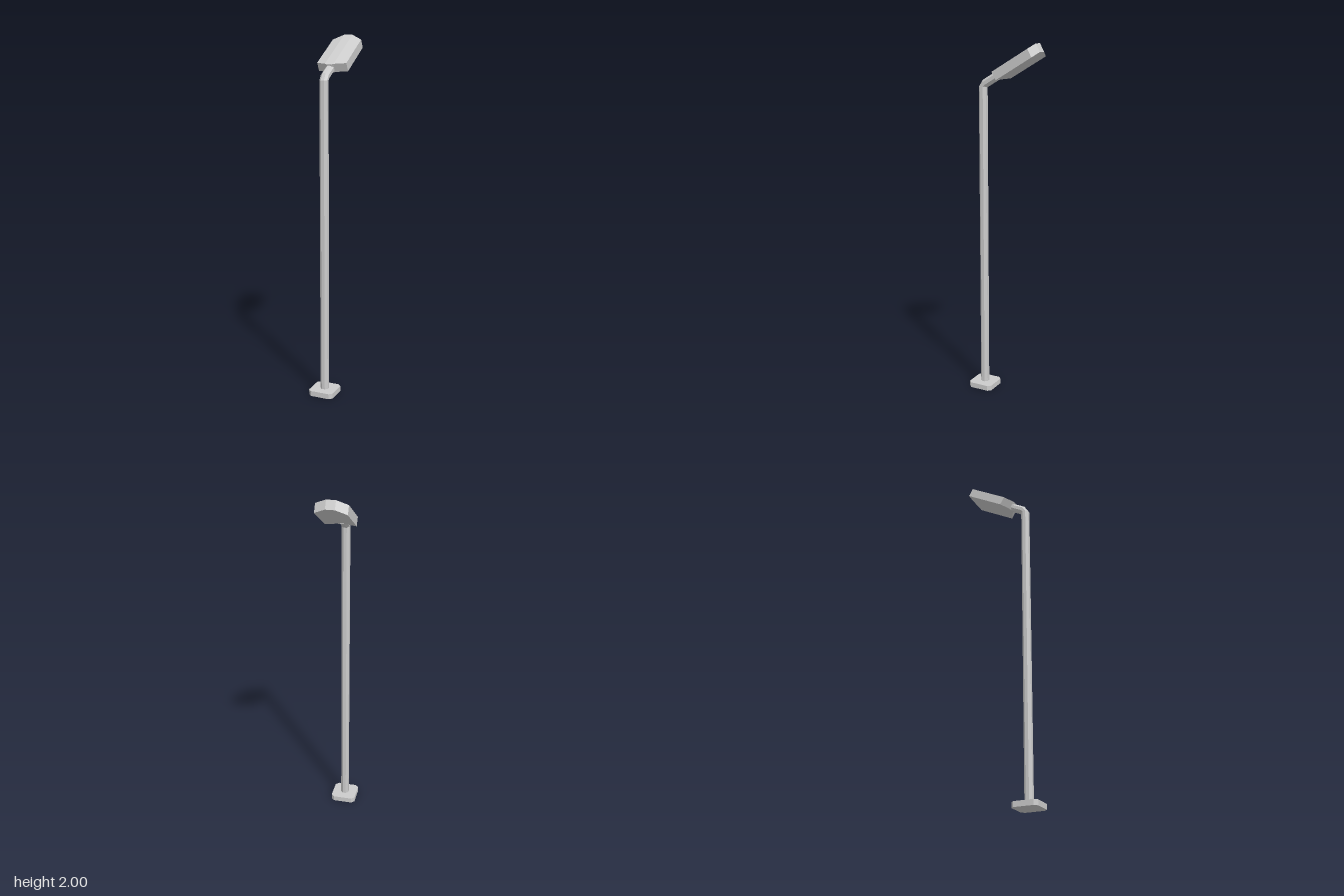
import * as THREE from 'three';

const material = new THREE.MeshStandardMaterial({ color: 0xcccccc, flatShading: true, side: THREE.DoubleSide });

// Skin a list of equal-length rings and close both ends
function loft(rings) {
  const n = rings[0].length;
  const last = (rings.length - 1) * n;
  const index = [];
  for (let i = 0; i < rings.length - 1; i++) {
    for (let j = 0; j < n; j++) {
      const k = (j + 1) % n;
      const a = i * n + j, b = i * n + k, c = b + n, d = a + n;
      index.push(a, b, c, a, c, d);
    }
  }
  for (let j = 1; j < n - 1; j++) {
    index.push(0, j + 1, j);
    index.push(last, last + j, last + j + 1);
  }
  const geometry = new THREE.BufferGeometry().setFromPoints(rings.flat());
  geometry.setIndex(index);
  const flat = geometry.toNonIndexed();
  flat.computeVertexNormals();
  return flat;
}

function addMesh(group, name, geometry) {
  const mesh = new THREE.Mesh(geometry, material);
  mesh.name = name;
  group.add(mesh);
  return mesh;
}

// Octagonal ring on the pole's path, leaning back by tilt degrees
function poleRing([y, z, tilt]) {
  const radius = 0.0225 / Math.cos(Math.PI / 8);
  return Array.from({ length: 8 }, (_, j) => {
    const a = (j + 0.5) * Math.PI / 4;
    return new THREE.Vector3(Math.cos(a) * radius, 0, -Math.sin(a) * radius)
      .applyAxisAngle(new THREE.Vector3(1, 0, 0), -THREE.MathUtils.degToRad(tilt))
      .add(new THREE.Vector3(0, y, z));
  });
}

export function createModel() {
  const group = new THREE.Group();
  group.name = 'streetLamp';

  // Square foot with cut corners
  const h = 0.073, c = 0.055;
  const outline = new THREE.Shape([
    [h, -c], [h, c], [c, h], [-c, h], [-h, c], [-h, -c], [-c, -h], [c, -h],
  ].map(([x, y]) => new THREE.Vector2(x, y)));
  const foot = addMesh(group, 'basePlate', new THREE.ExtrudeGeometry(outline, { depth: 0.03, bevelEnabled: false }));
  foot.rotation.x = -Math.PI / 2;
  foot.position.z = 0.14;

  // Pole bending into the short arm: height, depth, tilt
  const path = [[0.02, 0.14, 0], [1.765, 0.14, 0], [1.783, 0.127, 60], [1.828, 0.049, 60]];
  addMesh(group, 'poleAndArm', loft(path.map(poleRing)));

  // Arched lamp head, lofted side to side: x, back, front, rise
  const half = [[0.013, -0.2735, 0.0375, 0.013], [0.025, -0.2735, 0.0295, 0.013], [0.085, -0.244, 0, 0]];
  const mirrored = half.map(([x, ...rest]) => [-x, ...rest]).reverse();
  const thickness = 0.05;
  const sections = [...mirrored, ...half].map(([x, back, front, rise]) => [
    new THREE.Vector3(x, rise, back),
    new THREE.Vector3(x, rise, front),
    new THREE.Vector3(x, rise - thickness, front),
    new THREE.Vector3(x, rise - thickness, back),
  ]);
  const head = addMesh(group, 'lampHead', loft(sections));
  head.rotation.x = Math.PI / 6;
  head.position.set(0, 1.852, 0.04);

  return group;
}
